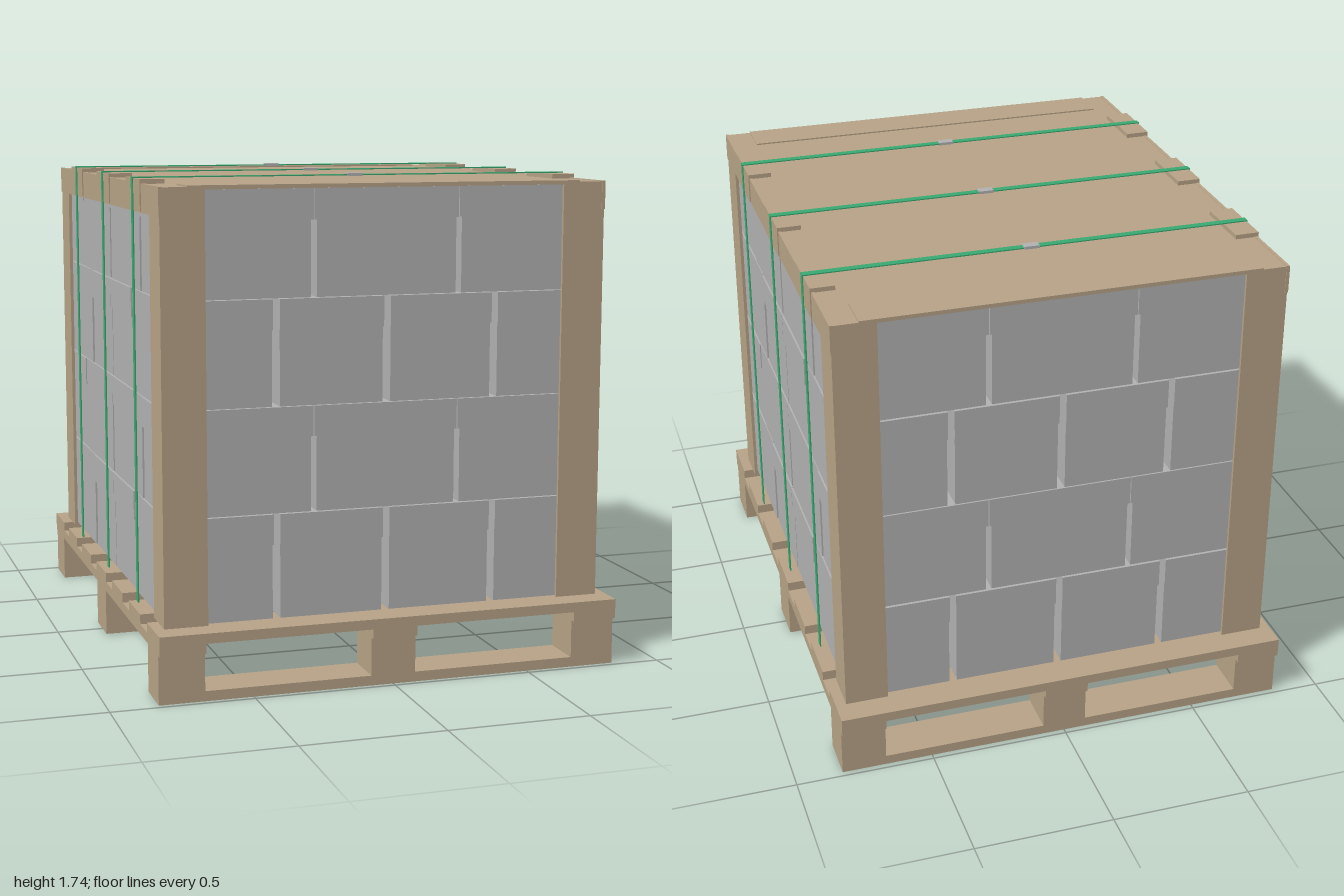
import * as THREE from 'three';

const mat = (name, color) => new THREE.MeshStandardMaterial({ name, color });

export function createModel() {
  const wood = mat('wood and cardboard tan', 0xb8a488);
  const grey = mat('carton grey', 0xb3b3b3);
  const green = mat('strap green', 0x3aaa72);
  const root = new THREE.Group();
  root.name = 'palletLoad';

  const group = (name, parent = root) => {
    const g = new THREE.Group();
    g.name = name;
    parent.add(g);
    return g;
  };
  // Box given by its min and max on each axis
  const box = (parent, name, m, x0, x1, y0, y1, z0, z1) => {
    const mesh = new THREE.Mesh(new THREE.BoxGeometry(x1 - x0, y1 - y0, z1 - z0), m);
    mesh.position.set((x0 + x1) / 2, (y0 + y1) / 2, (z0 + z1) / 2);
    mesh.name = name;
    parent.add(mesh);
    return mesh;
  };

  // Pallet: runners with blocks, stringers, deck boards
  const pallet = group('pallet');
  for (const z of [-0.9, 0, 0.9]) {
    const h = z === 0 ? 0.085 : 0.08;
    box(pallet, 'bottomBoard', wood, -0.83, 0.83, z === 0 ? 0.002 : 0, 0.035, z - h, z + h);
    for (const x of [-0.75, 0, 0.75])
      box(pallet, 'block', wood, x - 0.08, x + 0.08, 0.035, 0.17, z - h, z + h);
  }
  for (const x of [-0.75, 0, 0.75])
    box(pallet, 'stringer', wood, x - 0.08, x + 0.08, 0.17, 0.205, -1, 1);
  for (const z of [-0.905, -0.605, -0.305, 0, 0.305, 0.605, 0.905])
    box(pallet, 'deckBoard', wood, -0.83, 0.83, 0.205, 0.24, z - 0.096, z + 0.096);

  // Carton: body with a slightly longer lid section
  const BODY = 0.26, LAYER = 0.367;
  const carton = (parent, x, y, z, alongX) => {
    const part = (name, long, short, y0, y1) => {
      const hx = (alongX ? long : short) / 2, hz = (alongX ? short : long) / 2;
      box(parent, name, grey, x - hx, x + hx, y0, y1, z - hz, z + hz);
    };
    part('cartonBody', 0.5, 0.366, y, y + BODY);
    part('cartonLid', 0.517, 0.37, y + BODY, y + LAYER - 0.002);
  };

  // Four layers of cartons, alternating the direction of the rows
  const stack = group('cartonStack');
  for (let i = 0; i < 4; i++) {
    const layer = group('cartonLayer', stack);
    const y = 0.241 + i * LAYER;
    const zThree = i % 2 ? 0.706 : 0.187;
    const zFour = i % 2 ? 0.26 : 0.638;
    for (const s of [-1, 1]) {
      for (const x of [-0.52, 0, 0.52]) carton(layer, x, y, s * zThree, true);
      for (const x of [-0.59, -0.197, 0.197, 0.59]) carton(layer, x, y, s * zFour, false);
    }
  }

  // Single carton held in the middle of the pallet
  box(root, 'lowerCarton', grey, -0.18, 0.18, 0, 0.236, -0.25, 0.25);

  // L-shaped corner posts
  const T = 0.012;
  const posts = group('cornerPosts');
  for (const sx of [-1, 1]) for (const sz of [-1, 1]) {
    const post = group('cornerPost', posts);
    const xs = [sx * 0.64, sx * 0.793].sort((a, b) => a - b);
    const zs = [sz * 0.91, sz * (0.91 - T)].sort((a, b) => a - b);
    box(post, 'postFront', wood, xs[0], xs[1], 0.24, 1.712, zs[0], zs[1]);
    const xt = [sx * 0.793, sx * (0.793 - T)].sort((a, b) => a - b);
    const zt = [sz * 0.757, sz * (0.91 - T)].sort((a, b) => a - b);
    box(post, 'postSide', wood, xt[0], xt[1], 0.24, 1.712, zt[0], zt[1]);
  }

  // Top sheet with edge angles on all sides
  const cap = group('topCap');
  box(cap, 'topSheet', wood, -0.793, 0.793, 1.708, 1.717, -0.91, 0.91);
  for (const s of [-1, 1]) {
    box(cap, 'endAngle', wood, -0.7, 0.7, 1.717, 1.722, s * 0.837 - 0.073, s * 0.837 + 0.073);
    box(cap, 'sideAngle', wood, s * 0.79 - 0.006, s * 0.79 + 0.006, 1.62, 1.719, -0.912, 0.912);
  }

  // Straps with edge protectors and clips
  for (const z of [-0.53, 0, 0.53]) {
    const strap = group('strap');
    for (const s of [-1, 1]) {
      box(strap, 'protectorTop', wood, s * 0.757 - 0.043, s * 0.757 + 0.043, 1.717, 1.733, z - 0.116, z + 0.116);
      box(strap, 'protectorSide', wood, s * 0.794 - 0.006, s * 0.794 + 0.006, 1.625, 1.717, z - 0.116, z + 0.116);
      box(strap, 'strapSide', green, s * 0.801 - 0.002, s * 0.801 + 0.002, 0.24, 1.737, z - 0.013, z + 0.013);
    }
    box(strap, 'strapTop', green, -0.801, 0.801, 1.733, 1.737, z - 0.013, z + 0.013);
    box(strap, 'strapClip', grey, -0.028, 0.028, 1.731, 1.741, z - 0.016, z + 0.016);
  }
  return root;
}
